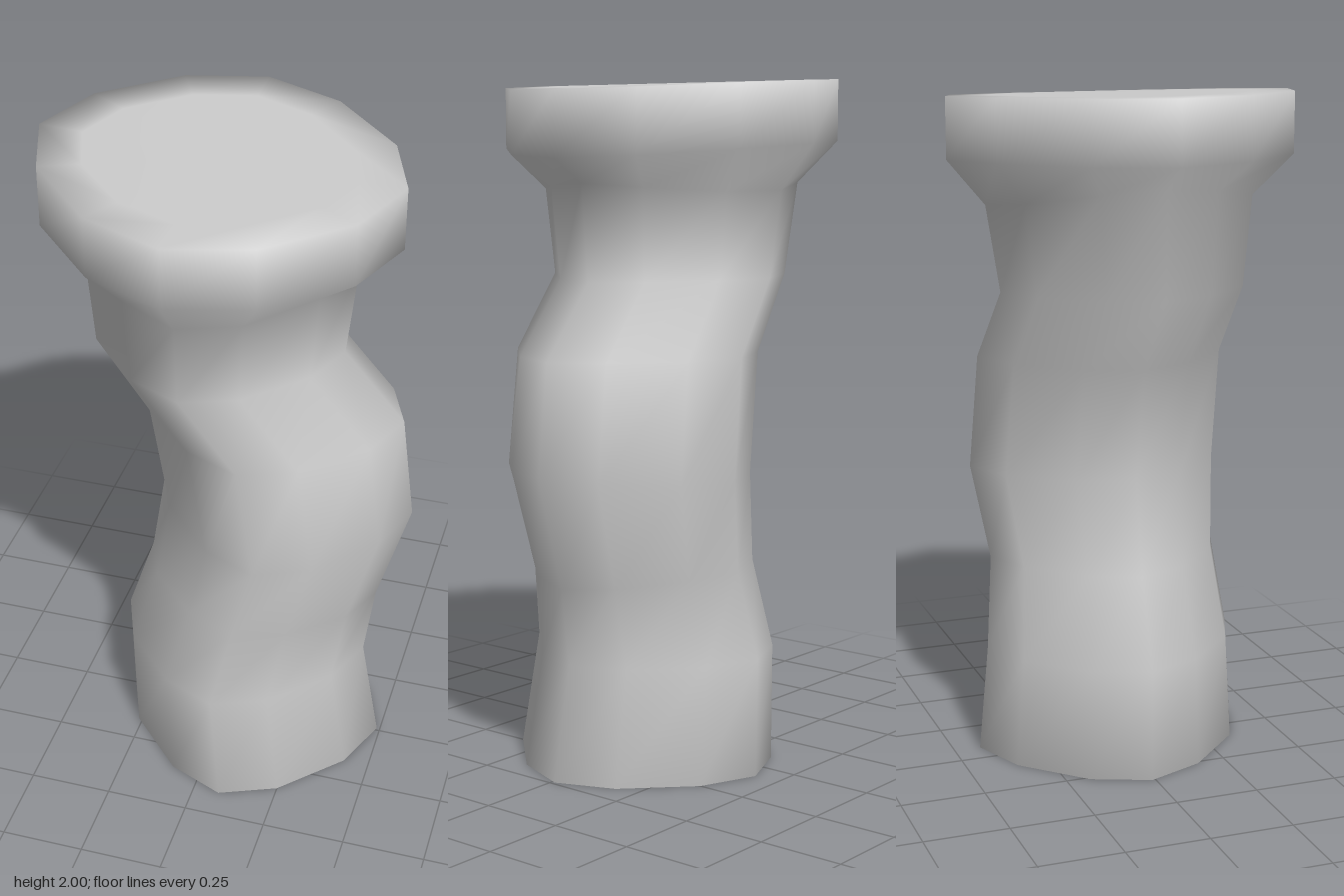
import * as THREE from 'three';

const SIDES = 12;

// Cross-sections from base to rim:
// [xRight, yRight, xLeft, yLeft, zFront, zBack, yMiddle, zSide, power]
// A power above 1 flattens the diagonals of the ring
const SECTIONS = [
  [-0.33, 0, 0.49, 0, 0.41, -0.42, 0, -0.01, 1.27],
  [-0.34, 0.34, 0.43, 0.33, 0.375, -0.4, 0.335, -0.015, 1.27],
  [-0.255, 0.6, 0.46, 0.56, 0.345, -0.37, 0.6, -0.015, 1.27],
  [-0.21, 0.89, 0.555, 0.89, 0.375, -0.41, 0.87, -0.018, 1.27],
  [-0.265, 1.22, 0.515, 1.21, 0.375, -0.395, 1.215, -0.015, 1.27],
  [-0.415, 1.44, 0.335, 1.42, 0.38, -0.37, 1.43, -0.01, 1.27],
  [-0.44, 1.75, 0.365, 1.7, 0.405, -0.41, 1.68, -0.015, 1.25],
  [-0.555, 1.82, 0.485, 1.77, 0.52, -0.52, 1.81, -0.02, 1.17],
  [-0.555, 2, 0.485, 1.955, 0.52, -0.52, 1.985, -0.02, 1.17],
];

// One ring of points; inset < 1 shrinks it towards its centre for the end caps
function ring([x0, y0, x1, y1, z0, z1, yMid, zSide, power], inset = 1) {
  const shape = (v) => Math.sign(v) * Math.abs(v) ** power * inset;
  const zMid = (z0 + z1) / 2;
  const points = [];
  for (let j = 0; j < SIDES; j++) {
    const a = (j / SIDES) * Math.PI * 2;
    const c = shape(Math.cos(a));
    const s = shape(Math.sin(a));
    points.push(
      (x0 + x1) / 2 + (c * (x1 - x0)) / 2,
      yMid + (c * (y1 - y0)) / 2 + c * c * ((y0 + y1) / 2 - yMid),
      zMid + (s * (z0 - z1)) / 2 + c * c * (zSide - zMid),
    );
  }
  return points;
}

// Smooth closed skin through all rings, with a pole at each end
function loft(rings, bottom, top) {
  const positions = [...rings.flat(), ...bottom, ...top];
  const index = [];
  const last = (rings.length - 1) * SIDES;
  const poleB = rings.length * SIDES;
  for (let j = 0; j < SIDES; j++) {
    const k = (j + 1) % SIDES;
    for (let i = 0; i < last; i += SIDES) {
      index.push(i + j, i + SIDES + j, i + k);
      index.push(i + k, i + SIDES + j, i + SIDES + k);
    }
    index.push(poleB, j, k);
    index.push(last + j, poleB + 1, last + k);
  }
  const geometry = new THREE.BufferGeometry();
  geometry.setAttribute('position', new THREE.Float32BufferAttribute(positions, 3));
  geometry.setIndex(index);
  geometry.computeVertexNormals();
  return geometry;
}

export function createModel() {
  const group = new THREE.Group();
  group.name = 'bentPost';

  // Wavy stem and flared head as one skin, with inset rings on both caps
  const base = SECTIONS[0];
  const rim = SECTIONS[SECTIONS.length - 1];
  const rings = [ring(base, 0.75), ...SECTIONS.map((s) => ring(s)), ring(rim, 0.75)];
  const bottomPole = ring(base, 0).slice(0, 3);
  const topPole = ring(rim, 0).slice(0, 3);

  const post = new THREE.Mesh(
    loft(rings, bottomPole, topPole),
    new THREE.MeshStandardMaterial({ color: 0xcccccc }),
  );
  post.name = 'stemAndHead';
  group.add(post);
  return group;
}
